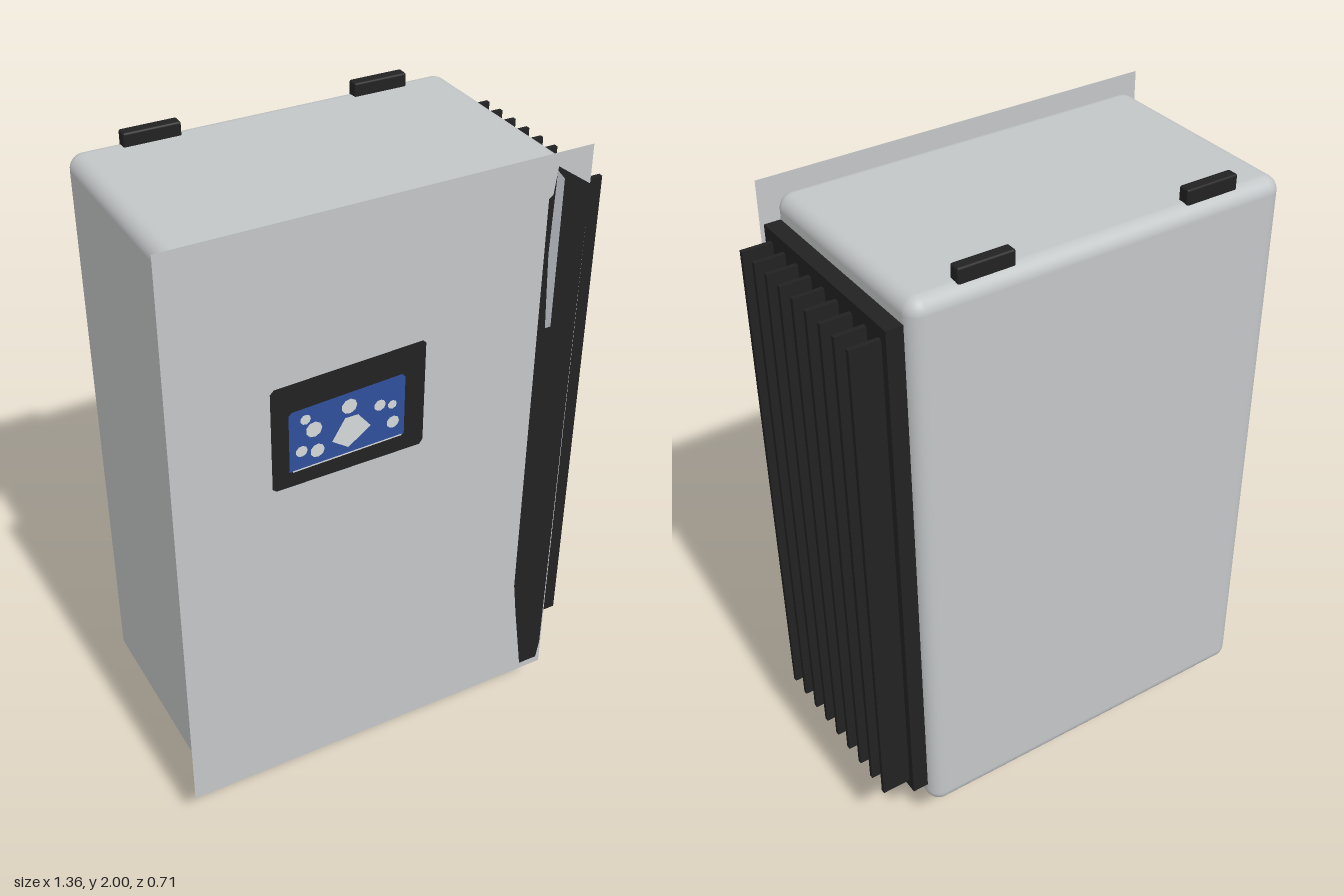
import * as THREE from 'three';
import { RoundedBoxGeometry } from 'three/addons/geometries/RoundedBoxGeometry.js';

export function createModel() {
  const root = new THREE.Group();
  root.name = 'wallInverter';

  const material = (name, color, side = THREE.FrontSide) => {
    const m = new THREE.MeshStandardMaterial({ color, side });
    m.name = name;
    return m;
  };
  const casingGrey = material('casingGrey', 0xc3c6c7);
  const panelGrey = material('panelGrey', 0xc3c6c7, THREE.DoubleSide);
  const black = material('black', 0x222222);
  const steel = material('steel', 0x9a9aa2);
  const silver = material('silver', 0xa9adb2);
  const blue = material('screenBlue', 0x2f4f9c);
  const white = material('iconWhite', 0xd5d8da);

  const add = (name, geometry, mat, x = 0, y = 0, z = 0, parent = root) => {
    const mesh = new THREE.Mesh(geometry, mat);
    mesh.name = name;
    mesh.position.set(x, y, z);
    parent.add(mesh);
    return mesh;
  };
  const group = (name) => {
    const g = new THREE.Group();
    g.name = name;
    root.add(g);
    return g;
  };
  // Flat painted face from a list of corners
  const plate = (name, points, mat, z, parent) => {
    const shape = new THREE.Shape(points.map(([x, y]) => new THREE.Vector2(x, y)));
    return add(name, new THREE.ShapeGeometry(shape), mat, 0, 0, z, parent);
  };

  // Rounded casing and the flat sheet on its front
  add('casing', new RoundedBoxGeometry(1.18, 1.805, 0.705, 5, 0.045), casingGrey, -0.05, 1.0575, -0.0025);
  add('frontPanel', new THREE.PlaneGeometry(1.265, 1.89), panelGrey, -0.0475, 1.055, 0.354);

  // Heat sink on the side
  const heatSink = group('heatSink');
  add('sinkBase', new THREE.BoxGeometry(0.05, 1.66, 0.635), black, 0.565, 1.06, -0.0025, heatSink);
  for (let i = 0; i < 9; i++) {
    add('fin', new THREE.BoxGeometry(0.1, 1.595, 0.014), black, 0.63, 1.0575, -0.29 + i * 0.071, heatSink);
  }

  // Mounting lugs on the top
  for (const x of [-0.405, 0.305]) {
    add('mountingLug', new RoundedBoxGeometry(0.17, 0.05, 0.037, 2, 0.006), black, x, 1.975, -0.312);
  }

  // Cable glands underneath
  for (const x of [-0.305, -0.05, 0.2]) {
    const gland = group('cableGland');
    gland.position.set(x, 0, 0.035);
    add('glandBody', new THREE.CylinderGeometry(0.047, 0.047, 0.14, 24), black, 0, 0.095, 0, gland);
    add('glandRing', new THREE.CylinderGeometry(0.055, 0.055, 0.025, 24), steel, 0, 0.0125, 0, gland);
  }

  // Display bezel, screen and its symbols
  const display = group('display');
  plate('bezel', [[-0.375, 1.19], [0.075, 1.195], [0.085, 1.21], [0.085, 1.53], [0.075, 1.54],
    [-0.375, 1.522], [-0.387, 1.51], [-0.387, 1.2]], black, 0.3555, display);
  plate('screen', [[-0.335, 1.24], [0.022, 1.25], [0.022, 1.44], [0.012, 1.452], [-0.325, 1.435],
    [-0.335, 1.425]], blue, 0.3565, display);
  plate('screenEdge', [[-0.325, 1.237], [0.015, 1.247], [0.015, 1.252], [-0.325, 1.242]], white, 0.357, display);
  plate('centreSymbol', [[-0.205, 1.3], [-0.155, 1.265], [-0.085, 1.315], [-0.125, 1.365], [-0.165, 1.365]],
    white, 0.3575, display);
  const dots = [[-0.152, 1.4, 0.024], [-0.285, 1.4, 0.016], [-0.26, 1.36, 0.025], [-0.298, 1.3, 0.018],
    [-0.25, 1.287, 0.022], [-0.057, 1.372, 0.018], [-0.018, 1.362, 0.014], [-0.015, 1.303, 0.02]];
  for (const [x, y, r] of dots) add('symbol', new THREE.CircleGeometry(r, 9), white, x, y, 0.3575, display);

  // Dark trim strip with a silver inlay along the edge of the front
  const trim = group('edgeTrim');
  plate('trimStrip', [[0.505, 0.135], [0.57, 0.135], [0.58, 0.2], [0.584, 1.885], [0.475, 1.96],
    [0.465, 1.88], [0.452, 1.87], [0.455, 0.5], [0.47, 0.38]], black, 0.3555, trim);
  plate('trimInlay', [[0.478, 1.46], [0.497, 1.46], [0.497, 1.92], [0.472, 1.95], [0.466, 1.7]],
    silver, 0.3565, trim);

  return root;
}
